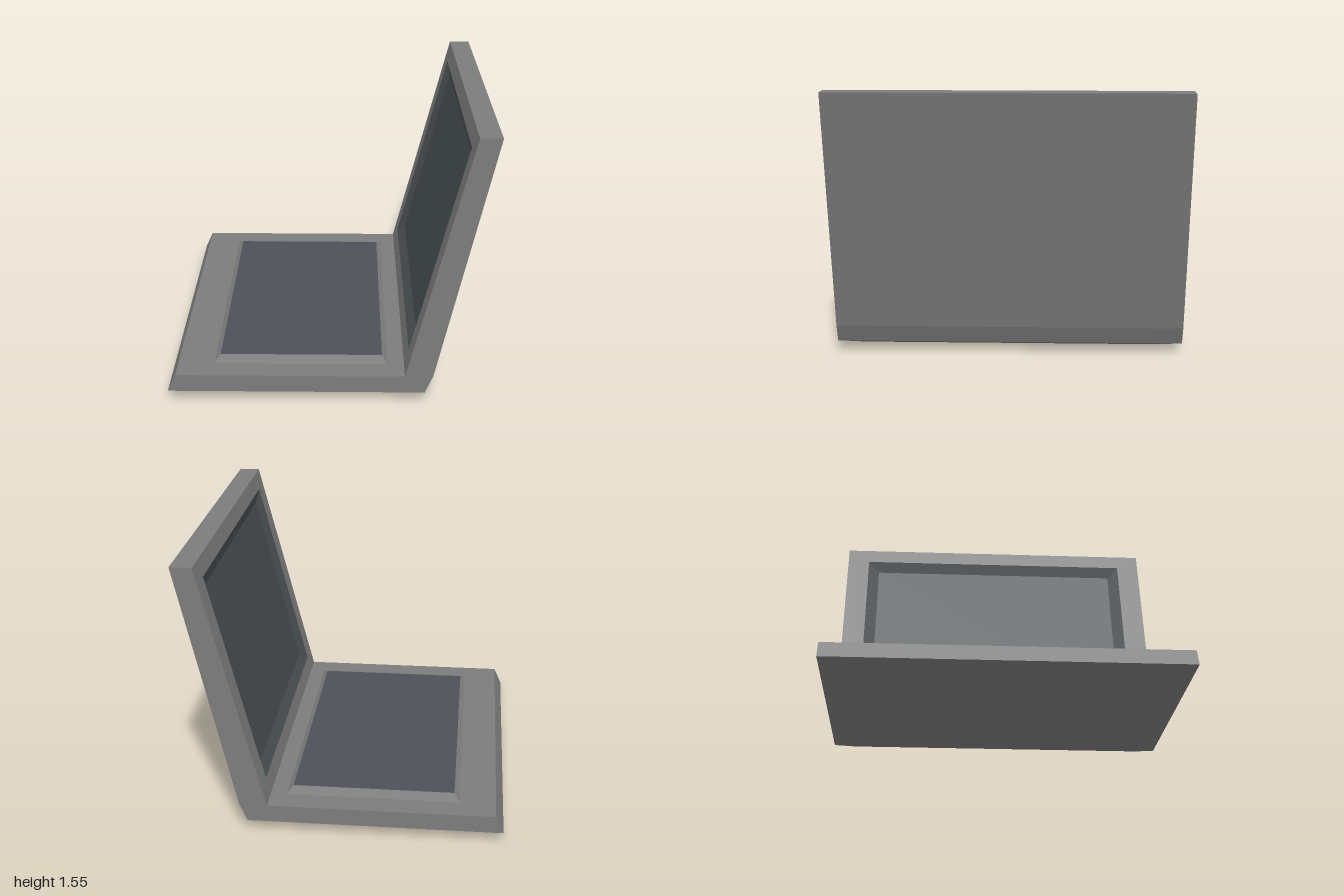
import * as THREE from 'three';

const V = (x, y, z) => new THREE.Vector3(x, y, z);

// Flat-shaded geometry from counter-clockwise polygons (triangles or quads)
function facets(polygons) {
  const points = [];
  for (const p of polygons) {
    for (let i = 1; i < p.length - 1; i++) points.push(p[0], p[i], p[i + 1]);
  }
  const geometry = new THREE.BufferGeometry().setFromPoints(points);
  geometry.computeVertexNormals();
  return geometry;
}

// Rectangle on a plane with axes u, v, raised by h along u x v
function rect(origin, u, v, u0, u1, v0, v1, h = 0) {
  const n = u.clone().cross(v);
  return [[u0, v0], [u1, v0], [u1, v1], [u0, v1]].map(([a, b]) =>
    origin.clone().addScaledVector(u, a).addScaledVector(v, b).addScaledVector(n, h));
}

// Four quads joining an outer rectangle to an inner one
const border = (a, b) => a.map((_, i) => {
  const j = (i + 1) % 4;
  return [a[i], a[j], b[j], b[i]];
});

export function createModel() {
  const casing = new THREE.MeshStandardMaterial({ name: 'casing grey', color: 0x7c7c7d });
  const keys = new THREE.MeshStandardMaterial({ name: 'keyboard slate', color: 0x4d5057 });
  const glass = new THREE.MeshStandardMaterial({ name: 'screen charcoal', color: 0x484e51 });

  const group = new THREE.Group();
  group.name = 'laptop';
  const add = (name, polygons, material) => {
    const mesh = new THREE.Mesh(facets(polygons), material);
    mesh.name = name;
    group.add(mesh);
  };

  // Side profile of base and open lid, extended across z
  const profile = [[-0.9, 0.06], [0.535, 0.06], [0.58, 0.165], [0.897, 1.555],
    [0.775, 1.555], [0.423, 0.16], [-0.855, 0.16]].map(([x, y]) => new THREE.Vector2(x, y));
  const shell = [];
  profile.forEach((p, i) => {
    if (i === 0 || i === 4) return; // underside and screen face are built below
    const q = profile[(i + 1) % profile.length];
    shell.push([V(p.x, p.y, -1), V(q.x, q.y, -1), V(q.x, q.y, 1), V(p.x, p.y, 1)]);
  });
  for (const tri of THREE.ShapeUtils.triangulateShape(profile, [])) {
    const side = (z) => tri.map((i) => V(profile[i].x, profile[i].y, z));
    shell.push(side(1), side(-1).reverse());
  }
  add('casing', shell, casing);

  // Tapered underside
  const X = V(1, 0, 0), Z = V(0, 0, 1);
  const rim = rect(V(0, 0.06, 0), X, Z, -0.9, 0.535, -1, 1);
  const foot = rect(V(0, 0, 0), X, Z, -0.65, 0.375, -0.86, 0.86);
  add('underside', [...border(rim, foot), foot], casing);

  // Raised keyboard with bevelled surround
  const deck = V(0, 0.16, 0);
  const keyOuter = rect(deck, Z, X, -0.86, 0.86, -0.65, 0.33);
  const keyInner = rect(deck, Z, X, -0.8, 0.8, -0.62, 0.3, 0.025);
  add('keyboardBevel', border(keyOuter, keyInner), casing);
  add('keyboard', [keyInner], keys);

  // Screen frame, recess walls and panel on the sloping lid
  const hinge = V(0.423, 0.16, 0);
  const slope = V(0.775, 1.555, 0).sub(hinge);
  const length = slope.length();
  const up = slope.normalize(), across = V(0, 0, -1);
  const lidEdge = rect(hinge, up, across, 0, length, -1, 1);
  const opening = rect(hinge, up, across, 0.1, length - 0.1, -0.86, 0.86);
  const panel = rect(hinge, up, across, 0.17, length - 0.17, -0.79, 0.79, -0.03);
  add('screenFrame', border(lidEdge, opening), casing);
  add('screenRecess', border(opening, panel), glass);
  add('screen', [panel], glass);

  return group;
}
